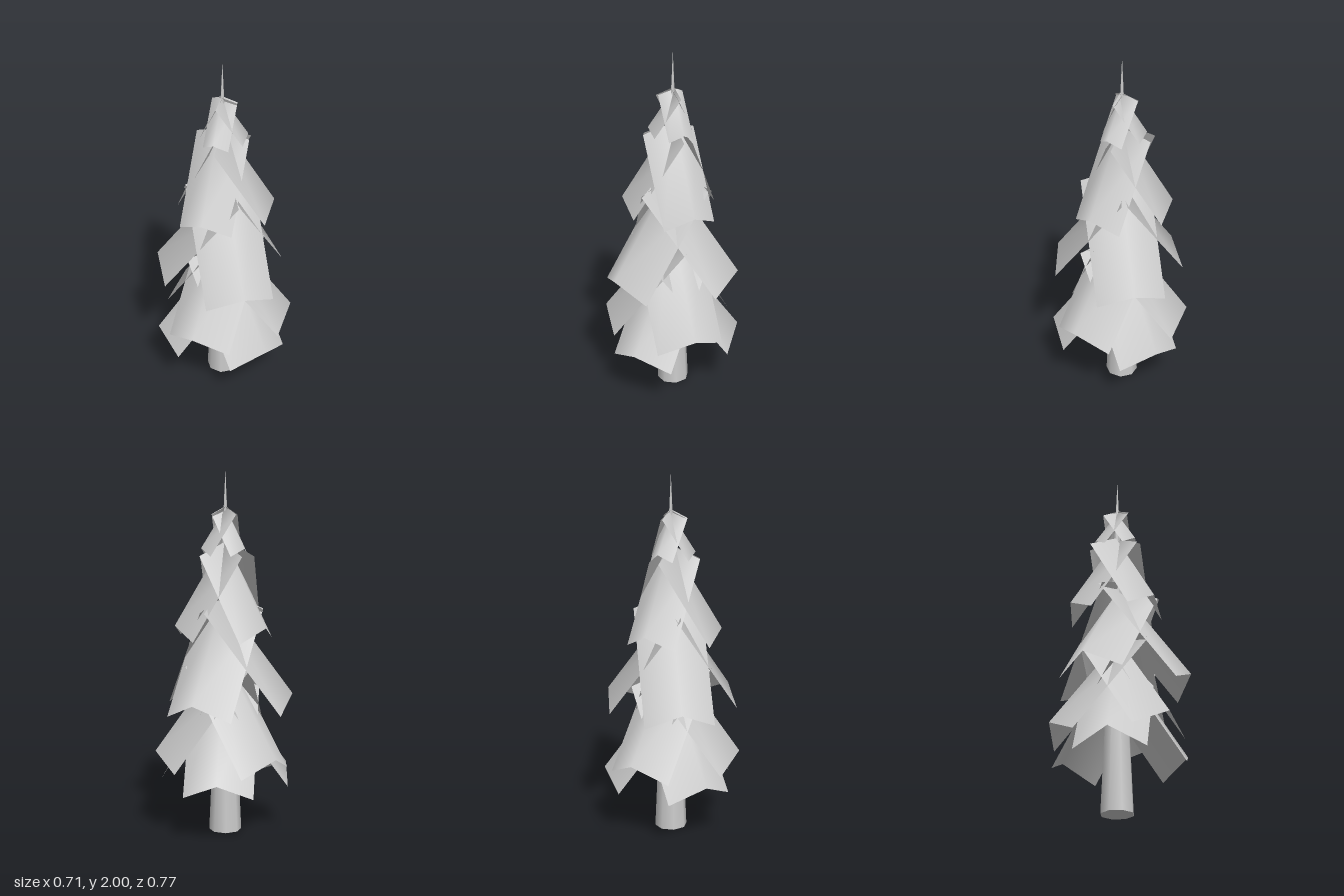
import * as THREE from 'three';

const needles = new THREE.MeshStandardMaterial({ color: 0xcccccc, side: THREE.DoubleSide });
const bark = new THREE.MeshStandardMaterial({ color: 0xcccccc });

// Folded rectangular bough: the ridge's lower end is the origin, +z points outward.
function boughGeometry({ half, foldIn, foldDown, run, rise }) {
  const points = [];
  for (const t of [0, 1]) {
    for (const s of [-1, 0, 1]) {
      const fold = Math.abs(s);
      points.push(s * half, t * rise - fold * foldDown, -t * run - fold * foldIn);
    }
  }
  const geometry = new THREE.BufferGeometry();
  geometry.setAttribute('position', new THREE.Float32BufferAttribute(points, 3));
  geometry.setIndex([0, 1, 4, 0, 4, 3, 1, 2, 5, 1, 5, 4]);
  geometry.computeVertexNormals();
  return geometry;
}

const large = { half: 0.19, foldIn: 0.078, foldDown: 0.09, run: 0.41, rise: 0.56 };
const medium = { half: 0.147, foldIn: 0.065, foldDown: 0.075, run: 0.27, rise: 0.45 };
const small = { half: 0.07, foldIn: 0.035, foldDown: 0.04, run: 0.14, rise: 0.22 };

// Each bough: x and z of the ridge's lower end, and its heading in degrees.
const tiers = [
  { name: 'skirtTier', size: large, y: 0.35, boughs: [[0, 0.383, 0], [0.30, -0.23, 127], [-0.345, -0.17, -115]] },
  { name: 'lowerTier', size: large, y: 0.465, boughs: [[0, -0.385, 180], [-0.345, 0.16, -65], [0.30, 0.23, 53]] },
  { name: 'middleTier', size: large, y: 0.775, boughs: [[-0.14, 0.36, -21], [0.36, -0.11, 107], [-0.262, -0.28, -136]] },
  { name: 'upperTier', size: medium, y: 1.165, boughs: [[-0.025, -0.288, 185], [-0.245, 0.12, -57], [0.232, 0.14, 57]] },
  { name: 'crownTier', size: small, y: 1.58, boughs: [[-0.01, -0.145, 180], [-0.115, 0.055, -57], [0.112, 0.057, 57]] },
];

export function createModel() {
  const tree = new THREE.Group();
  tree.name = 'conifer';

  // Trunk tapering into the bare spire
  const trunk = new THREE.Mesh(new THREE.ConeGeometry(0.09, 2, 8, 1), bark);
  trunk.name = 'trunk';
  trunk.position.set(-0.003, 1, -0.014);
  tree.add(trunk);

  // Tiers of drooping boughs
  for (const { name, size, y, boughs } of tiers) {
    const tier = new THREE.Group();
    tier.name = name;
    const geometry = boughGeometry(size);
    for (const [x, z, heading] of boughs) {
      const bough = new THREE.Mesh(geometry, needles);
      bough.name = 'bough';
      bough.position.set(x, y, z);
      bough.rotation.y = THREE.MathUtils.degToRad(heading);
      tier.add(bough);
    }
    tree.add(tier);
  }
  return tree;
}
